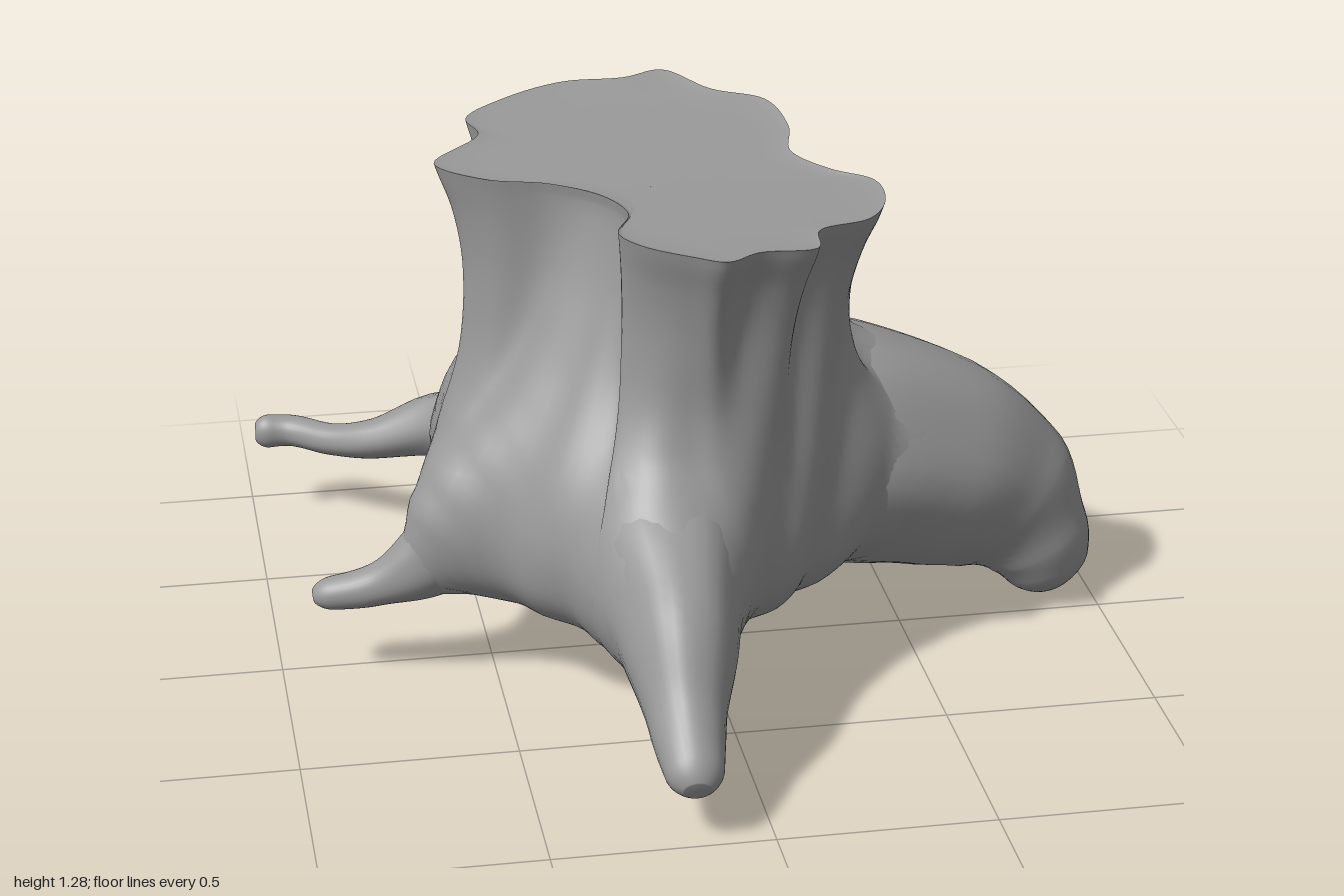
import * as THREE from 'three';

const V = (x, y, z) => new THREE.Vector3(x, y, z);
const bark = new THREE.MeshStandardMaterial({ color: 0x999999 });

// Skins closed rings that run counter-clockwise about their direction of travel
function loft(rings, startPoint, endPoint) {
  const n = rings[0].length;
  const points = rings.flat();
  const index = [];
  for (let i = 0; i < rings.length - 1; i++) {
    for (let j = 0; j < n; j++) {
      const a = i * n + j, b = i * n + (j + 1) % n;
      index.push(a, b, a + n, b, b + n, a + n);
    }
  }
  const fan = (centre, row, flip) => {
    const c = points.push(centre) - 1;
    for (let j = 0; j < n; j++) {
      const a = row * n + j, b = row * n + (j + 1) % n;
      if (flip) index.push(c, b, a);
      else index.push(c, a, b);
    }
  };
  if (startPoint) fan(startPoint, 0, true);
  if (endPoint) fan(endPoint, rings.length - 1, false);
  const g = new THREE.BufferGeometry().setFromPoints(points);
  g.setIndex(index);
  g.computeVertexNormals();
  return g;
}

// Wavy outline of the cut, as x, z
const CUT = [
  [0, -0.48], [-0.1, -0.45], [-0.25, -0.44], [-0.4, -0.37], [-0.5, -0.28], [-0.48, -0.2], [-0.6, -0.06],
  [-0.5, 0.03], [-0.35, 0.07], [-0.24, 0.15], [-0.2, 0.25], [-0.24, 0.36], [-0.2, 0.44], [-0.1, 0.52],
  [-0.03, 0.56], [0.05, 0.51], [0.18, 0.5], [0.21, 0.39], [0.33, 0.34], [0.39, 0.24], [0.39, 0.12],
  [0.3, 0.05], [0.23, -0.05], [0.25, -0.18], [0.22, -0.32], [0.1, -0.38],
];
const CX = -0.08;

// Each root: stations of x, y, z, half width, half height
const ROOTS = {
  leftRoot: [[0.1, 0.54, -0.05, 0.25, 0.28], [0.35, 0.46, -0.09, 0.28, 0.29], [0.6, 0.37, -0.13, 0.255, 0.265],
    [0.78, 0.25, -0.15, 0.2, 0.215], [0.87, 0.14, -0.13, 0.15, 0.14], [0.915, 0.02, -0.11, 0.1, 0.085]],
  frontRoot: [[-0.14, 0.46, 0.15, 0.25, 0.25], [-0.15, 0.39, 0.43, 0.2, 0.24], [-0.155, 0.32, 0.65, 0.135, 0.185],
    [-0.17, 0.21, 0.85, 0.085, 0.1], [-0.175, 0.14, 1, 0.06, 0.05]],
  backRoot: [[0.08, 0.48, -0.22, 0.17, 0.28], [0.13, 0.44, -0.45, 0.16, 0.26], [0.16, 0.36, -0.65, 0.105, 0.18],
    [0.155, 0.28, -0.84, 0.085, 0.105]],
  backRightRoot: [[-0.28, 0.47, -0.15, 0.23, 0.28], [-0.36, 0.41, -0.42, 0.21, 0.25], [-0.41, 0.32, -0.62, 0.16, 0.16],
    [-0.36, 0.27, -0.8, 0.09, 0.09], [-0.3, 0.21, -0.99, 0.05, 0.05]],
  backRightFork: [[-0.4, 0.34, -0.57, 0.12, 0.11], [-0.54, 0.3, -0.71, 0.08, 0.08], [-0.7, 0.25, -0.76, 0.05, 0.05],
    [-0.8, 0.23, -0.82, 0.04, 0.04], [-0.9, 0.23, -0.895, 0.04, 0.04], [-0.99, 0.23, -0.9, 0.035, 0.045]],
  rightRoot: [[-0.35, 0.46, 0.02, 0.14, 0.2], [-0.53, 0.4, 0.06, 0.13, 0.18], [-0.66, 0.3, 0.085, 0.07, 0.09],
    [-0.78, 0.24, 0.065, 0.05, 0.05], [-0.92, 0.21, 0.035, 0.04, 0.037]],
};

// Position, directions and half sizes at points along a root
function rootFrames(stations) {
  const path = new THREE.CatmullRomCurve3(stations.map(([x, y, z]) => V(x, y, z)));
  const size = new THREE.CatmullRomCurve3(stations.map((s) => V(s[3], s[4], 0)), false, 'catmullrom', 0.3);
  return Array.from({ length: 37 }, (_, i) => {
    const u = 1 - Math.pow(1 - i / 36, 1.6);
    const t = path.getTangent(u), wh = size.getPoint(u);
    const side = V(0, 1, 0).cross(t).normalize();
    const q = Math.max(0, (u - 0.92) / 0.08);
    const round = Math.sqrt(1 - 0.75 * q * q);
    return { u, c: path.getPoint(u), t, side, up: t.clone().cross(side), w: wh.x * round, h: wh.y * round };
  });
}

// Sweeps a faintly ridged oval along a root
function rootGeometry(frames) {
  const rings = frames.map(({ u, c, side, up, w, h }) => Array.from({ length: 32 }, (_, j) => {
    const a = j / 32 * Math.PI * 2;
    const ridge = 1 + 0.03 * (1 - u) * Math.sin(a * 6 + u * 5);
    return c.clone().addScaledVector(side, w * ridge * Math.cos(a)).addScaledVector(up, h * ridge * Math.sin(a));
  }));
  return loft(rings, frames[0].c, frames[frames.length - 1].c);
}

// Approximate distance from a point to a root
const d = V(0, 0, 0);
function rootDistance(p, frames) {
  let best = Infinity;
  for (let i = 0; i < frames.length; i += 2) {
    const f = frames[i], m = Math.min(f.w, f.h);
    d.subVectors(p, f.c);
    const a = d.dot(f.side) / f.w, b = d.dot(f.up) / f.h, c = d.dot(f.t) / m;
    best = Math.min(best, (Math.sqrt(a * a + b * b + c * c) - 1) * m);
  }
  return best;
}

// Moves a trunk point outwards so that the bark runs in a fillet onto the roots
const FILLET = 0.17, REACH = 0.26;
function reachToRoots(p, roots) {
  const r0 = Math.hypot(p.x - CX, p.z), dx = (p.x - CX) / r0, dz = p.z / r0;
  const q = p.clone();
  let last = 0;
  for (let out = 0; out <= REACH; out += 0.01) {
    q.set(p.x + dx * out, p.y, p.z + dz * out);
    let field = out;
    for (const frames of roots) {
      const f = rootDistance(q, frames);
      const h = Math.max(FILLET - Math.abs(field - f), 0) / FILLET;
      field = Math.min(field, f) - h * h * FILLET / 4;
    }
    // Farther out the bark dips just under the root
    field += 0.04 * out;
    if (field > 0) {
      const back = 0.01 * field / (field - last);
      return q.set(q.x - dx * back, p.y, q.z - dz * back);
    }
    last = field;
  }
  return q;
}

const cutHeight = (x, z) => 1.215 - 0.1 * z + 0.1 * z * z - 0.02 * x;

function trunkAndCut(roots) {
  const outline = new THREE.CatmullRomCurve3(CUT.map(([x, z]) => V(x, 0, z)), true).getPoints(182).slice(0, 182);
  // Blend from cut outline to round base, height, scale of the section
  const levels = new THREE.CatmullRomCurve3([
    [1, 0.2, 0.66], [1, 0.225, 0.8], [1, 0.3, 0.91], [0.98, 0.4, 0.94], [0.92, 0.5, 0.94], [0.82, 0.6, 0.93],
    [0.68, 0.7, 0.91], [0.54, 0.8, 0.89], [0.38, 0.9, 0.88], [0.22, 1, 0.89], [0.08, 1.1, 0.93], [0, 1.17, 0.98], [0, 1.2, 1],
  ].map((v) => V(...v))).getPoints(48);
  const rings = levels.map(({ x: k, y, z: s }) => outline.map((p) => {
    const dx = p.x - CX, a = Math.atan2(p.z, dx);
    // Base swells to the back right and carries twisting flutes
    const r = 0.5 + 0.04 * Math.cos(a - Math.atan2(-0.8, -0.6)) + 0.014 * Math.sin(a * 13 + y * 5);
    const x = CX + s * THREE.MathUtils.lerp(dx, r * Math.cos(a), k);
    const z = s * THREE.MathUtils.lerp(p.z, r * Math.sin(a), k);
    // Upper levels follow the slant of the cut
    const slant = (cutHeight(p.x, p.z) - 1.2) * THREE.MathUtils.smoothstep(y, 0.7, 1.2);
    const point = V(x, y + slant, z);
    return y < 1.05 ? reachToRoots(point, roots) : point;
  }));
  // Sawn surface, slightly dished
  const capRings = [1, 0.93, 0.75, 0.5, 0.25].map((s) => outline.map((p) => {
    const x = CX + (p.x - CX) * s, z = p.z * s;
    return V(x, cutHeight(x, z) - (s < 1 ? 0.006 : 0), z);
  }));
  return [loft(rings, V(CX, 0.19, 0)), loft(capRings, null, V(CX, cutHeight(CX, 0) - 0.006, 0))];
}

export function createModel() {
  const group = new THREE.Group();
  group.name = 'treeStump';
  const add = (name, geometry) => {
    const mesh = new THREE.Mesh(geometry, bark);
    mesh.name = name;
    group.add(mesh);
  };
  // The fork springs from another root, so the trunk does not reach for it
  const { backRightFork, ...mainRoots } = ROOTS;
  const frames = Object.values(mainRoots).map(rootFrames);
  const [trunk, cut] = trunkAndCut(frames);
  add('trunk', trunk);
  add('cutTop', cut);
  Object.keys(mainRoots).forEach((name, i) => add(name, rootGeometry(frames[i])));
  add('backRightFork', rootGeometry(rootFrames(backRightFork)));
  return group;
}
